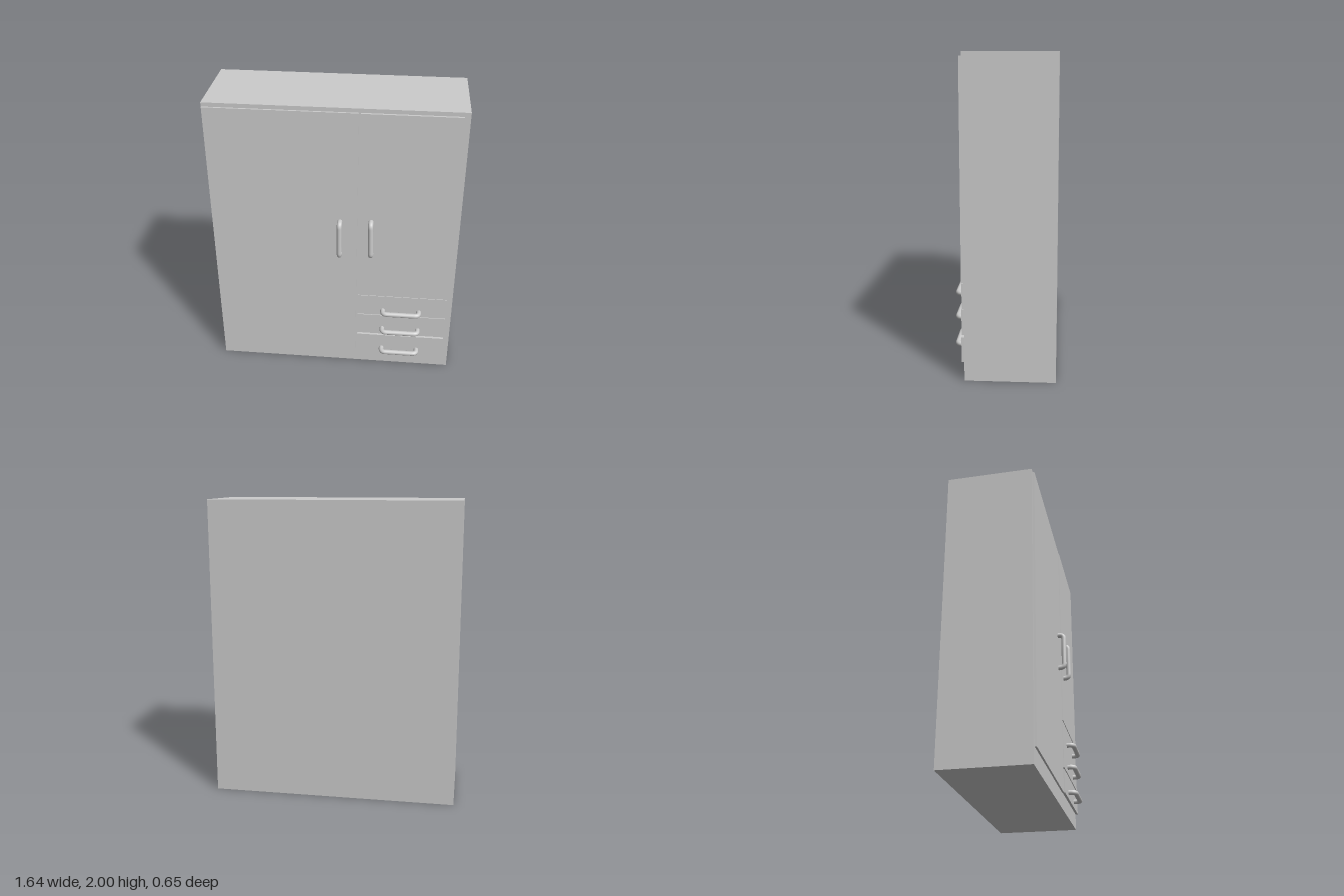
import * as THREE from 'three';

const material = new THREE.MeshStandardMaterial({ color: 0xcccccc });
const FRONT = 0.24; // z of the carcass front

// Box given by its limits on each axis
function box(name, x0, x1, y0, y1, z0, z1) {
  const mesh = new THREE.Mesh(new THREE.BoxGeometry(x1 - x0, y1 - y0, z1 - z0), material);
  mesh.position.set((x0 + x1) / 2, (y0 + y1) / 2, (z0 + z1) / 2);
  mesh.name = name;
  return mesh;
}

// Bow handle: a bar with two rounded bends running back into the panel
function handleGeometry(length = 0.285, radius = 0.017, reach = 0.06, bend = 0.03) {
  const h = length / 2 - radius;
  const v = (x, z) => new THREE.Vector3(x, 0, z);
  const path = new THREE.CurvePath();
  path.add(new THREE.LineCurve3(v(-h, -0.02), v(-h, reach - bend)));
  path.add(new THREE.QuadraticBezierCurve3(v(-h, reach - bend), v(-h, reach), v(-h + bend, reach)));
  path.add(new THREE.LineCurve3(v(-h + bend, reach), v(h - bend, reach)));
  path.add(new THREE.QuadraticBezierCurve3(v(h - bend, reach), v(h, reach), v(h, reach - bend)));
  path.add(new THREE.LineCurve3(v(h, reach - bend), v(h, -0.02)));
  return new THREE.TubeGeometry(path, 72, radius, 16, false);
}

export function createModel() {
  const wardrobe = new THREE.Group();
  wardrobe.name = 'wardrobe';

  // Carcass
  wardrobe.add(box('carcass', -0.82, 0.82, 0, 2, -0.325, FRONT));

  // Doors, standing just proud of the carcass
  const gap = FRONT + 0.005;
  wardrobe.add(box('wideDoor', -0.815, 0.152, 0.1, 1.975, gap, 0.257));
  wardrobe.add(box('narrowDoor', 0.165, 0.78, 0.615, 1.975, gap, 0.26));

  // Drawer fronts
  wardrobe.add(box('topDrawer', 0.165, 0.78, 0.447, 0.61, gap, 0.258));
  wardrobe.add(box('middleDrawer', 0.165, 0.78, 0.28, 0.444, gap, 0.26));
  wardrobe.add(box('bottomDrawer', 0.165, 0.78, 0.105, 0.265, gap, 0.262));

  // Handles: name, x, y, z of the panel face, turn about z
  const geometry = handleGeometry();
  const handles = [
    ['wideDoorHandle', 0.038, 1.08, 0.238, Math.PI / 2],
    ['narrowDoorHandle', 0.245, 1.09, 0.238, Math.PI / 2 + 0.02],
    ['topDrawerHandle', 0.467, 0.49, 0.243, 0],
    ['middleDrawerHandle', 0.467, 0.33, 0.245, 0],
    ['bottomDrawerHandle', 0.467, 0.15, 0.248, 0],
  ];
  for (const [name, x, y, z, turn] of handles) {
    const handle = new THREE.Mesh(geometry, material);
    handle.name = name;
    handle.position.set(x, y, z);
    handle.rotation.z = turn;
    wardrobe.add(handle);
  }
  return wardrobe;
}
